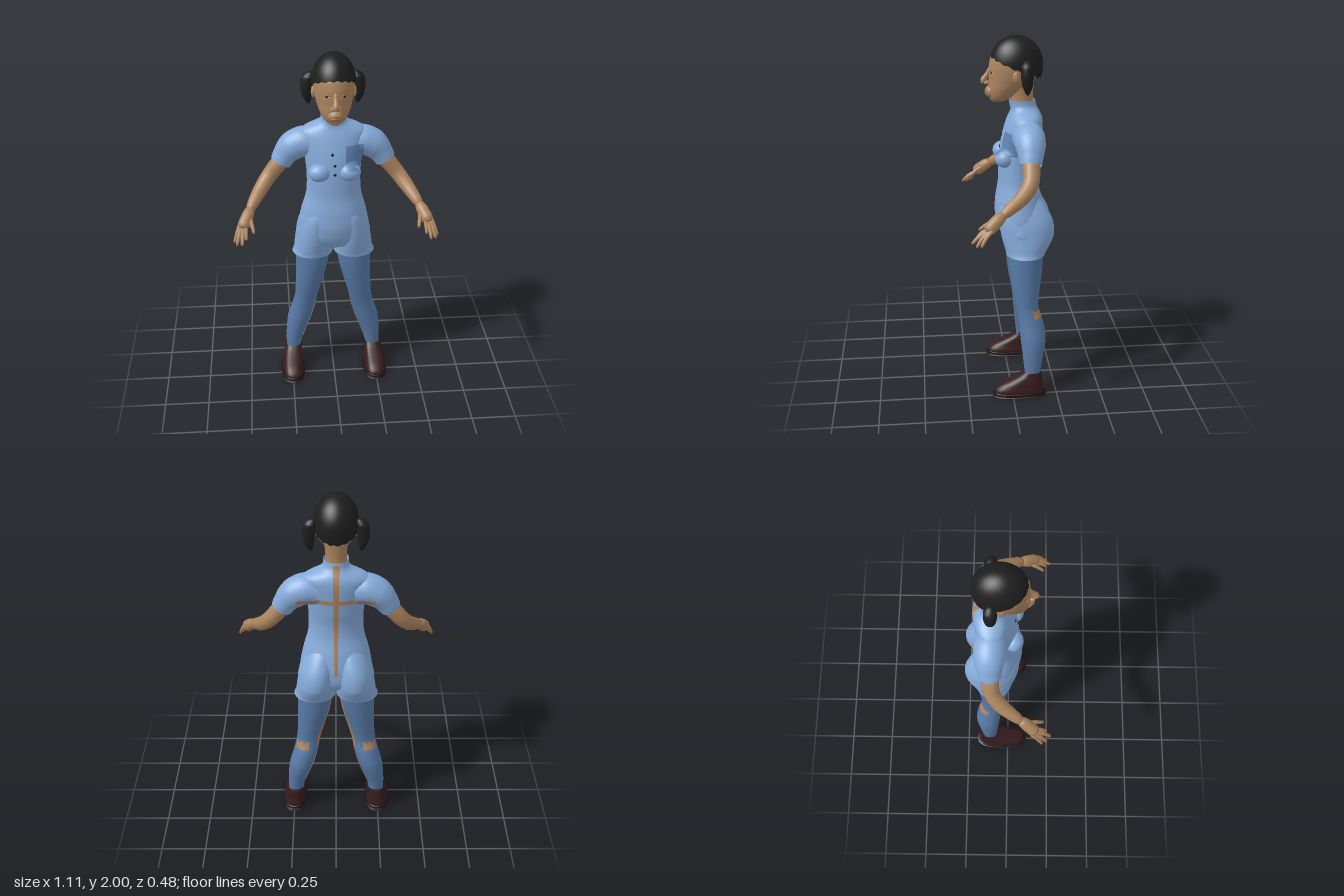
import * as THREE from 'three';
import { mergeVertices } from 'three/addons/utils/BufferGeometryUtils.js';

const paint = (name, color) => new THREE.MeshStandardMaterial({ name, color, side: THREE.DoubleSide });
const V = (x, y, z) => new THREE.Vector3(x, y, z);

export function createModel() {
  const skin = paint('skin', 0xac845e), dress = paint('dress blue', 0x86abda), tights = paint('tights blue', 0x5779a6);
  const pocketBlue = paint('pocket blue', 0x6285b5), hair = paint('hair black', 0x1e1e1e), shoe = paint('shoe maroon', 0x361c1e);
  const sole = paint('sole dark', 0x1c1214), white = paint('eye white', 0xc9bfb2), lips = paint('lips', 0x93644f);
  const model = new THREE.Group();
  const add = (name, geometry, material) => {
    const mesh = new THREE.Mesh(geometry, material);
    mesh.name = name;
    model.add(mesh);
    return mesh;
  };

  // Smooth surface from a rule fn(u, v) -> Vector3
  const grid = (fn, nu, nv) => {
    let g = new THREE.PlaneGeometry(1, 1, nu, nv);
    const p = g.attributes.position, uv = g.attributes.uv;
    for (let i = 0; i < p.count; i++) {
      const q = fn(uv.getX(i), uv.getY(i));
      p.setXYZ(i, q.x, q.y, q.z);
    }
    g.deleteAttribute('normal');
    g.deleteAttribute('uv');
    g = mergeVertices(g, 1e-5);
    g.computeVertexNormals();
    return g;
  };

  // Value k of rows [y, centreX, halfWidth, frontZ, backZ] at height y, smoothly interpolated
  const sample = (rows, y, k) => {
    let i = 0;
    while (i < rows.length - 2 && y > rows[i + 1][0]) i++;
    const slope = (j) => {
      const a = rows[Math.max(j - 1, 0)], b = rows[Math.min(j + 1, rows.length - 1)];
      return (b[k] - a[k]) / (b[0] - a[0]);
    };
    const a = rows[i], b = rows[i + 1], h = b[0] - a[0], t = (y - a[0]) / h, t2 = t * t, t3 = t2 * t;
    return (2 * t3 - 3 * t2 + 1) * a[k] + (t3 - 2 * t2 + t) * h * slope(i)
      + (3 * t2 - 2 * t3) * b[k] + (t3 - t2) * h * slope(i + 1);
  };
  // Horizontal cross-sections; power below 1 makes them boxier
  const stack = (rows, s = 1, power = 1, nv = 48) => grid((u, v) => {
    const a = (u - 0.5) * 2 * Math.PI, bend = (n) => Math.sign(n) * Math.abs(n) ** power;
    const y = rows[0][0] + v * (rows[rows.length - 1][0] - rows[0][0]);
    const zf = sample(rows, y, 3), zb = sample(rows, y, 4);
    return V(s * sample(rows, y, 1) + sample(rows, y, 2) * bend(Math.sin(a)), y, (zf + zb) / 2 + (zf - zb) / 2 * bend(Math.cos(a)));
  }, 40, nv);

  // Tapered tube through points [x, y, z, radius], with rounded ends
  const limb = (pts, s = 1, round = true, nu = 16, nv = 28) => {
    const curve = new THREE.CatmullRomCurve3(pts.map((p) => V(p[0] * s, p[1], p[2])));
    const frames = curve.computeFrenetFrames(nv);
    return grid((u, v) => {
      const i = Math.round(v * nv), f = v * (pts.length - 1), j = Math.min(Math.floor(f), pts.length - 2);
      let r = THREE.MathUtils.lerp(pts[j][3], pts[j + 1][3], f - j);
      if (round) r *= Math.sqrt(Math.max(0, 1 - Math.abs(2 * v - 1) ** 10));
      const a = u * 2 * Math.PI;
      return curve.getPoint(v).addScaledVector(frames.normals[i], r * Math.cos(a)).addScaledVector(frames.binormals[i], r * Math.sin(a));
    }, nu, nv);
  };
  const blob = (x, y, z, rx, ry, rz) => new THREE.SphereGeometry(1, 24, 16).scale(rx, ry, rz).translate(x, y, z);

  // Thin patch laid on the targets along a direction
  const ray = new THREE.Raycaster();
  const drape = (name, material, targets, dir, from, nu = 8, nv = 8, off = 0.003) => {
    let last = null;
    return add(name, grid((u, v) => {
      ray.set(from(u, v), dir);
      const hit = ray.intersectObjects(targets)[0];
      if (hit) last = hit.point;
      return (last || from(u, v)).clone().addScaledVector(dir, -off);
    }, nu, nv), material);
  };
  const toBack = V(0, 0, -1), toFront = V(0, 0, 1);

  // Dress body with collar
  const torso = add('dressBody', stack([
    [0.85, 0, 0.05, -0.03, -0.1], [0.9, 0, 0.195, 0.04, -0.18], [1.0, 0, 0.198, 0.075, -0.2], [1.1, 0, 0.18, 0.075, -0.185],
    [1.2, 0, 0.153, 0.06, -0.157], [1.28, 0, 0.147, 0.058, -0.152], [1.36, 0, 0.15, 0.055, -0.165], [1.45, 0, 0.162, 0.04, -0.175],
    [1.52, 0, 0.178, 0.02, -0.18], [1.56, 0, 0.178, 0.005, -0.178], [1.585, 0, 0.145, -0.005, -0.17],
    [1.605, 0, 0.095, -0.01, -0.158], [1.625, 0, 0.07, -0.006, -0.147], [1.66, 0, 0.066, 0, -0.14]], 1, 1, 80), dress);
  const clothed = [torso];

  for (const s of [1, -1]) {
    const side = s > 0 ? 'left' : 'right';
    // Sleeve, bust and short leg
    clothed.push(add(side + 'Sleeve', limb([[0.1, 1.48, -0.09, 0.08], [0.165, 1.488, -0.092, 0.085], [0.225, 1.46, -0.094, 0.08],
      [0.262, 1.415, -0.092, 0.066], [0.287, 1.373, -0.088, 0.058]], s, false, 28), dress));
    clothed.push(add(side + 'Bust', blob(s * 0.082, 1.355, 0.03, 0.06, 0.05, 0.052), dress));
    add(side + 'ShortLeg', stack([[0.815, 0.118, 0.116, 0.024, -0.19], [0.835, 0.114, 0.111, 0.028, -0.2], [0.87, 0.111, 0.109, 0.038, -0.22],
      [0.92, 0.107, 0.106, 0.05, -0.24], [1.0, 0.1, 0.1, 0.06, -0.235], [1.08, 0.085, 0.085, 0.06, -0.195], [1.15, 0.07, 0.06, 0.03, -0.14]], s), dress);

    // Leg in tights, with bare inner strip and torn knee back
    const leg = add(side + 'Leg', stack([[0.12, 0.238, 0.043, -0.07, -0.155], [0.2, 0.232, 0.05, -0.062, -0.167], [0.33, 0.203, 0.068, -0.048, -0.19],
      [0.42, 0.178, 0.068, -0.04, -0.178], [0.5, 0.16, 0.066, -0.028, -0.152], [0.6, 0.143, 0.076, -0.01, -0.16],
      [0.72, 0.125, 0.09, 0.005, -0.175], [0.87, 0.112, 0.1, 0.012, -0.185]], s), tights);
    drape(side + 'InnerLegStrip', skin, [leg], V(s, 0, 0),
      (u, v) => V(0, 0.19 + 0.62 * v, -0.118 + (u - 0.5) * 0.03), 3, 30);
    drape(side + 'KneePatch', skin, [leg], toFront,
      (u, v) => V(s * (0.155 + 0.075 * u), 0.455 + v * (0.045 + 0.008 * Math.sin(u * 15)), -1), 12, 4);

    // Shoe, sole and ankle
    add(side + 'Shoe', stack([[0.015, 0.247, 0.06, 0.1, -0.175], [0.04, 0.247, 0.063, 0.1, -0.175], [0.07, 0.247, 0.056, 0.068, -0.17],
      [0.1, 0.245, 0.051, 0.008, -0.167], [0.125, 0.242, 0.047, -0.04, -0.165], [0.145, 0.24, 0.044, -0.066, -0.158]], s, 0.75), shoe);
    add(side + 'Sole', stack([[0.002, 0.247, 0.001, -0.035, -0.037], [0.003, 0.247, 0.06, 0.095, -0.174],
      [0.012, 0.247, 0.064, 0.105, -0.18], [0.024, 0.247, 0.064, 0.105, -0.18], [0.028, 0.247, 0.06, 0.1, -0.175]], s, 0.75, 26), sole);
    for (const [part, z, rx, rz] of [['Forefoot', 0.02, 0.045, 0.06], ['Heel', -0.13, 0.035, 0.032]]) {
      add(side + part + 'Pad', new THREE.CircleGeometry(1, 20).scale(rx, rz, 1).rotateX(Math.PI / 2).translate(s * 0.247, 0, z), skin);
    }
    drape(side + 'AnkleTongue', shoe, [leg], V(s, 0, 0),
      (u, v) => V(0, 0.13 + 0.075 * v, -0.11 + (u - 0.5) * 0.07 * (1 - 0.7 * v)), 6, 6, 0.004);

    // Arm and hand
    add(side + 'Arm', limb([[0.24, 1.43, -0.092, 0.05], [0.3, 1.36, -0.09, 0.047], [0.352, 1.295, -0.08, 0.043], [0.398, 1.24, -0.035, 0.04],
      [0.437, 1.197, 0.028, 0.033], [0.468, 1.16, 0.085, 0.026]], s), skin);
    add(side + 'Palm', limb([[0.457, 1.175, 0.065, 0.025], [0.474, 1.148, 0.1, 0.033], [0.495, 1.115, 0.138, 0.034], [0.505, 1.098, 0.155, 0.025]], s), skin);
    const fingers = [[0.515, 1.115, 0.125, 0.55, 1.03, 0.19], [0.51, 1.105, 0.14, 0.537, 1.025, 0.215],
      [0.5, 1.1, 0.15, 0.508, 1.035, 0.237], [0.487, 1.105, 0.15, 0.485, 1.055, 0.212], [0.465, 1.145, 0.1, 0.442, 1.085, 0.198]];
    fingers.forEach(([x, y, z, X, Y, Z], i) => add(side + (i < 4 ? 'Finger' + (i + 1) : 'Thumb'),
      limb([[x, y, z, 0.013], [(x + X) / 2, (y + Y) / 2 + 0.006, (z + Z) / 2 + 0.004, 0.011], [X, Y, Z, 0.008]], s, true, 8, 12), skin));

    // Ear and hair bunch
    add(side + 'Ear', blob(s * 0.108, 1.795, -0.03, 0.012, 0.032, 0.02), skin);
    add(side + 'HairBunch', limb([[0.1, 1.865, -0.085, 0.02], [0.128, 1.86, -0.085, 0.032], [0.138, 1.81, -0.085, 0.034],
      [0.137, 1.76, -0.086, 0.028], [0.128, 1.705, -0.088, 0.009]], s), hair);
  }

  // Pocket, buttons and open back seams
  drape('pocket', pocketBlue, clothed, toBack, (u, v) => V(0.06 + 0.1 * u, 1.378 + 0.122 * v, 1), 12, 12, 0.005);
  for (const y of [1.46, 1.4, 1.35]) {
    ray.set(V(y > 1.45 ? -0.012 : 0, y, 1), toBack);
    const p = ray.intersectObject(torso)[0].point;
    add('button', blob(p.x, p.y, p.z, 0.008, 0.008, 0.005), sole);
  }
  drape('backSeam', skin, clothed, toFront, (u, v) => V((u - 0.5) * (0.018 + 0.016 * v), 1.0 + 0.65 * v, -1), 3, 40);
  drape('shoulderSeam', skin, clothed, toFront, (u, v) => V((u - 0.5) * 0.42, 1.432 + 0.026 * v, -1), 40, 3);

  // Neck and head
  add('neck', stack([[1.6, 0, 0.062, -0.01, -0.135], [1.68, 0, 0.055, -0.015, -0.13], [1.8, 0, 0.07, 0, -0.14]]), skin);
  const head = add('head', stack([[1.648, 0, 0.008, 0.065, 0.04], [1.657, 0, 0.037, 0.09, 0.015], [1.68, 0, 0.062, 0.104, -0.02],
    [1.72, 0, 0.083, 0.11, -0.07], [1.76, 0, 0.097, 0.108, -0.125], [1.8, 0, 0.106, 0.107, -0.152], [1.85, 0, 0.109, 0.104, -0.165],
    [1.9, 0, 0.103, 0.088, -0.155], [1.96, 0, 0.06, 0.03, -0.1]]), skin);
  add('nose', limb([[0, 1.835, 0.095, 0.011], [0, 1.8, 0.113, 0.012], [0, 1.765, 0.135, 0.017], [0, 1.748, 0.135, 0.014]]), skin);
  const muzzle = add('mouthMound', blob(0, 1.705, 0.094, 0.04, 0.035, 0.033), skin);
  add('chin', blob(0, 1.672, 0.073, 0.036, 0.025, 0.028), skin);
  for (const y of [1.698, 1.711]) add('lip', blob(0, y, 0.122, 0.024, 0.006, 0.008), lips);
  for (const s of [1, -1]) {
    add('nostril', blob(s * 0.017, 1.754, 0.118, 0.011, 0.01, 0.014), skin);
    const lens = (x, w, h) => (u, v) => V(s * x + (u - 0.5) * w, 1.812 + (v - 0.5) * h * Math.sin(Math.PI * (0.08 + 0.84 * u)), 1);
    drape('eyeWhite', white, [head, muzzle], toBack, lens(0.046, 0.036, 0.011), 8, 3, 0.002);
    drape('iris', sole, [head, muzzle], toBack, lens(0.046, 0.013, 0.011), 6, 3, 0.004);
    add('eyelid', limb([[0.026, 1.814, 0.103, 0.003], [0.046, 1.82, 0.098, 0.004], [0.066, 1.815, 0.087, 0.003]], s, true, 8, 10), lips);
  }

  // Hair cap with a ragged hairline, low at the back
  add('hairCap', grid((u, v) => {
    const a = (u - 0.5) * 2 * Math.PI, c = Math.cos(a);
    const low = 1.832 + (c > 0 ? 0.06 : 0.055) * c + 0.004 * Math.sin(17 * a);
    const y = low + (2 - low) * Math.sin(v * Math.PI / 2), d = (y - 1.85) / 0.15;
    const f = d > 0 ? Math.sqrt(Math.max(0, 1 - d * d)) : 1 - 0.3 * d * d;
    return V(0.117 * f * Math.sin(a), y, -0.04 + 0.142 * f * c);
  }, 72, 24), hair);

  return model;
}
